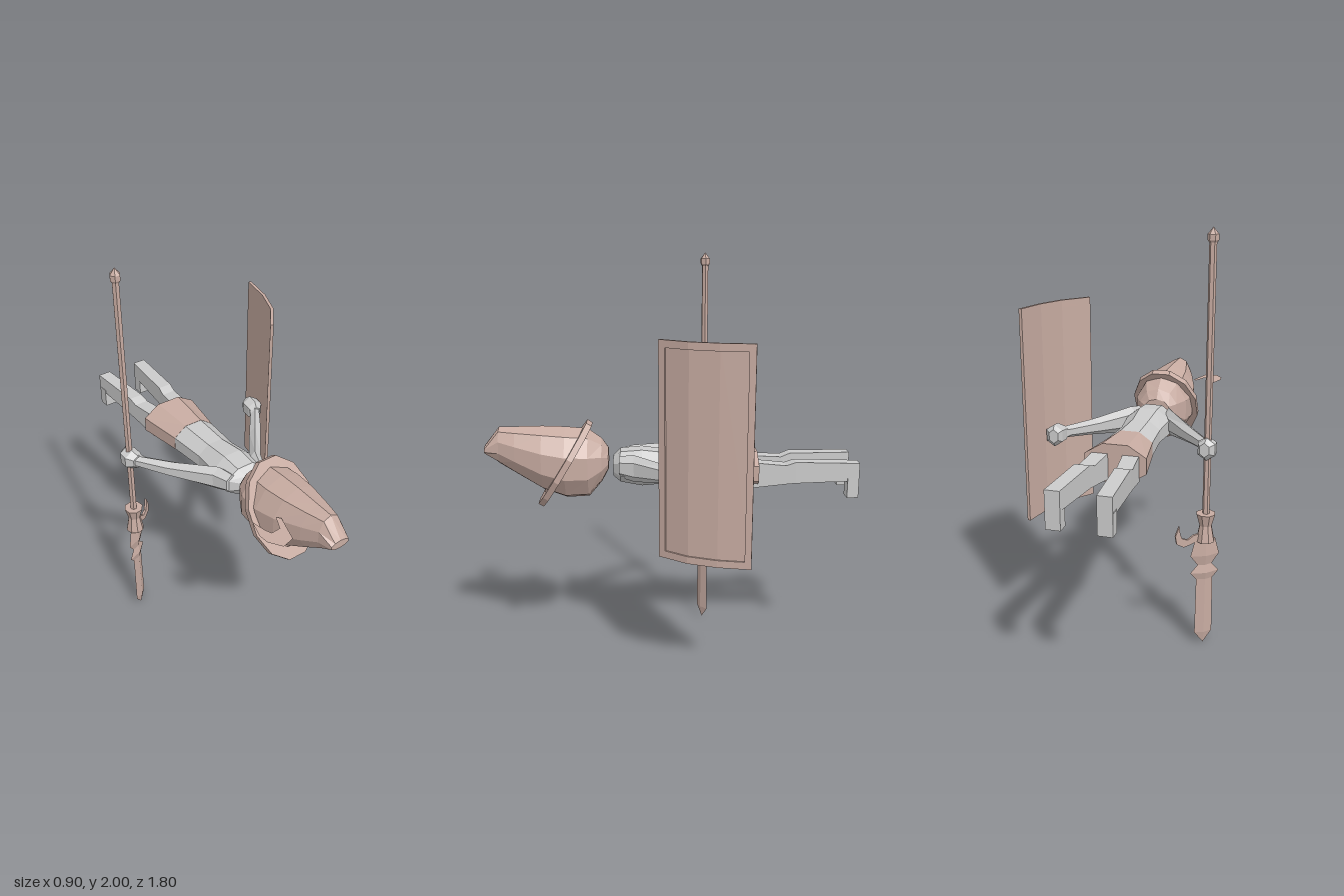
import * as THREE from 'three';

const CX = -0.015; // body centre line
const mat = (color) => new THREE.MeshStandardMaterial({ color, flatShading: true, side: THREE.DoubleSide });
const grey = mat(0xcccccc);
const brown = mat(0xc8aca2);

// Capped loft along -z; each section is [z, centre x, half width, bottom y, top y]
function loft(sections, n, phase = Math.PI / n) {
  const k = 1 / Math.cos(phase);
  const rings = sections.map(([z, cx, hx, y0, y1]) =>
    Array.from({ length: n }, (_, i) => {
      const a = (i / n) * Math.PI * 2 + phase;
      return [cx + hx * k * Math.cos(a), (y0 + y1) / 2 + ((y1 - y0) / 2) * k * Math.sin(a), z];
    }));
  const pos = [];
  const tri = (...p) => p.forEach((v) => pos.push(...v));
  for (let r = 0; r + 1 < rings.length; r++) {
    const a = rings[r], b = rings[r + 1];
    for (let i = 0; i < n; i++) {
      const j = (i + 1) % n;
      tri(a[i], b[i], b[j]);
      tri(a[i], b[j], a[j]);
    }
  }
  const f = rings[0], e = rings[rings.length - 1];
  for (let i = 1; i + 1 < n; i++) {
    tri(f[0], f[i], f[i + 1]);
    tri(e[0], e[i + 1], e[i]);
  }
  const g = new THREE.BufferGeometry();
  g.setAttribute('position', new THREE.Float32BufferAttribute(pos, 3));
  g.computeVertexNormals();
  return g;
}

const shapeOf = (pts) => new THREE.Shape(pts.map(([x, y]) => new THREE.Vector2(x, y)));
const extrude = (shape, depth) => new THREE.ExtrudeGeometry(shape, { depth, bevelEnabled: false });

export function createModel() {
  const model = new THREE.Group();
  const add = (name, geo, material, parent = model) => {
    const m = new THREE.Mesh(geo, material);
    m.name = name;
    parent.add(m);
    return m;
  };

  // Long pointed head
  add('head', loft([
    [0.9, CX, 0.047, 1.06, 1.1],
    [0.83, CX, 0.06, 1.01, 1.185],
    [0.75, CX, 0.09, 0.96, 1.185],
    [0.62, CX, 0.13, 0.88, 1.185],
    [0.51, CX, 0.145, 0.84, 1.18],
    [0.4, CX, 0.135, 0.845, 1.17],
    [0.335, CX, 0.1, 0.92, 1.125],
    [0.303, CX, 0.065, 0.98, 1.08],
  ], 10), brown);

  // Tilted brim around the head
  const oval = (rx, ry) => Array.from({ length: 12 }, (_, i) => {
    const a = ((i + 0.5) / 12) * Math.PI * 2;
    return [(rx * Math.cos(a)) / 0.966, (ry * Math.sin(a)) / 0.966];
  });
  const brimShape = shapeOf(oval(0.17, 0.235));
  brimShape.holes.push(shapeOf(oval(0.125, 0.175)));
  const brim = add('brim', extrude(brimShape, 0.03).translate(0, 0, -0.015), brown);
  brim.position.set(CX, 1.005, 0.515);
  brim.rotation.x = -0.547;

  // Thin curved plume beside the head
  const plume = new THREE.ShapeGeometry(shapeOf([
    [-0.25, 0.607], [-0.277, 0.69], [-0.275, 0.74], [-0.235, 0.8], [-0.175, 0.785],
    [-0.135, 0.66], [-0.15, 0.64], [-0.18, 0.705], [-0.225, 0.708], [-0.238, 0.675],
  ]));
  plume.rotateX(Math.PI / 2).translate(0, 1.11, 0);
  add('plume', plume, brown);

  // Torso and skirt
  add('torso', loft([
    [0.28, CX, 0.055, 0.945, 1.04],
    [0.245, CX, 0.105, 0.92, 1.07],
    [0.14, CX, 0.11, 0.9, 1.078],
    [0, CX, 0.097, 0.91, 1.06],
    [-0.19, CX, 0.11, 0.9, 1.06],
  ], 8), grey);
  add('skirt', loft([
    [-0.19, CX, 0.111, 0.899, 1.061],
    [-0.42, CX, 0.145, 0.89, 1.07],
  ], 8), brown);

  // Arms, hands, legs and feet, mirrored
  for (const s of [-1, 1]) {
    const side = s > 0 ? 'left' : 'right';
    const x = (d) => CX + s * d;
    add(side + 'Arm', loft([
      [0.25, x(0.08), 0.03, 0.96, 1.05],
      [0.18, x(0.105), 0.035, 0.945, 1.06],
      [0.0, x(0.245), 0.036, 0.97, 1.04],
      [-0.13, x(0.342), 0.028, 0.985, 1.035],
      [-0.16, x(0.36), 0.03, 0.975, 1.045],
    ], 6), grey);
    add(side + 'Hand', loft([
      [-0.135, x(0.355), 0.026, 0.98, 1.04],
      [-0.165, x(0.368), 0.042, 0.965, 1.055],
      [-0.21, x(0.37), 0.04, 0.965, 1.06],
      [-0.235, x(0.365), 0.022, 0.985, 1.045],
    ], 6), grey);
    add(side + 'Leg', loft([
      [-0.4, x(0.07), 0.038, 0.9, 1.025],
      [-0.555, x(0.085), 0.036, 0.92, 1.013],
      [-0.6, x(0.09), 0.035, 0.925, 1.03],
      [-0.905, x(0.11), 0.033, 0.94, 1.027],
    ], 4), grey);
    const foot = add(side + 'Foot', new THREE.BoxGeometry(0.066, 0.1, 0.055), grey);
    foot.position.set(x(0.11), 0.905, -0.8775);
  }

  // Lance, turned a little about its shaft
  const lance = new THREE.Group();
  lance.name = 'lance';
  lance.position.set(-0.387, 0, -0.19);
  lance.rotation.y = 0.58;
  model.add(lance);
  add('shaft', new THREE.CylinderGeometry(0.017, 0.017, 1.3, 6).translate(0, 1.31, 0), brown, lance);
  const lathe = (pts, n) => new THREE.LatheGeometry(pts.map(([r, y]) => new THREE.Vector2(r, y)), n);
  add('shaftCap', lathe([[0, 1.93], [0.018, 1.935], [0.025, 1.945], [0.025, 1.97], [0, 2]], 6), brown, lance);
  add('collar', lathe([[0, 0.535], [0.045, 0.55], [0.03, 0.63], [0.047, 0.69], [0, 0.69]], 8), brown, lance);
  // Blade: four-sided profile flattened to a diamond section
  const blade = lathe([
    [0, 0], [0.045, 0.06], [0.042, 0.35], [0.073, 0.385], [0.036, 0.425],
    [0.073, 0.475], [0.05, 0.56], [0, 0.56],
  ], 4).scale(1, 1, 0.25);
  add('blade', blade, brown, lance);
  add('hook', extrude(shapeOf([
    [0.03, 0.59], [0.06, 0.585], [0.09, 0.565], [0.118, 0.575], [0.128, 0.6], [0.133, 0.64],
    [0.152, 0.59], [0.145, 0.55], [0.11, 0.53], [0.075, 0.54], [0.03, 0.56],
  ]), 0.012).translate(0, 0, -0.006), brown, lance);

  // Curved shield: a plate with a raised rim on the outside
  const shield = new THREE.Group();
  shield.name = 'shield';
  model.add(shield);
  const curve = [[0.255, 0.055], [0.352, -0.07], [0.405, -0.2], [0.436, -0.352]]
    .map(([x, z]) => new THREE.Vector2(x, z));
  const strip = (name, path, y0, y1, t) => {
    const outer = path.map((p, i) => {
      const d = path[Math.min(i + 1, path.length - 1)].clone().sub(path[Math.max(i - 1, 0)]).normalize();
      return [p.x - d.y * t, p.y + d.x * t];
    });
    const pts = [...path.map((p) => [p.x, p.y]), ...outer.reverse()].map(([x, z]) => [x, -z]);
    const g = extrude(shapeOf(pts), y1 - y0).rotateX(-Math.PI / 2).translate(0, y0, 0);
    add(name, g, brown, shield);
  };
  const last = curve.length - 1;
  strip('shieldPlate', curve, 0.62, 1.64, 0.007);
  strip('shieldBottomRim', curve, 0.62, 0.655, 0.015);
  strip('shieldTopRim', curve, 1.605, 1.64, 0.015);
  strip('shieldFrontRim', [curve[0], curve[0].clone().lerp(curve[1], 0.22)], 0.655, 1.605, 0.015);
  strip('shieldBackRim', [curve[last].clone().lerp(curve[last - 1], 0.2), curve[last]], 0.655, 1.605, 0.015);

  return model;
}
